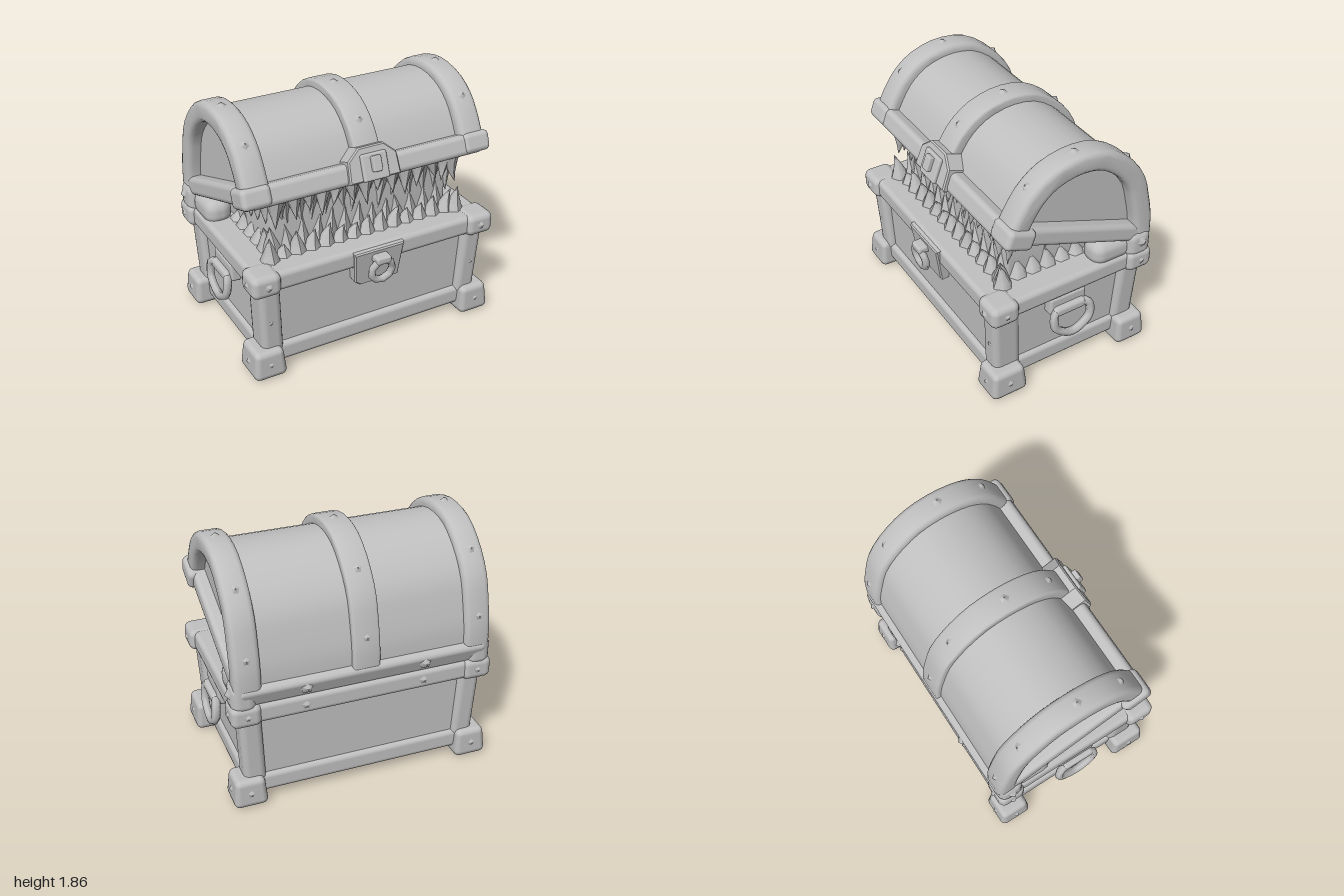
import * as THREE from 'three';
import { toCreasedNormals } from 'three/addons/utils/BufferGeometryUtils.js';
import { RoundedBoxGeometry } from 'three/addons/geometries/RoundedBoxGeometry.js';

export function createModel() {
  const chest = new THREE.Group();
  chest.name = 'toothedChest';
  const grey = new THREE.MeshStandardMaterial({ color: 0xc0c0c0, side: THREE.DoubleSide });
  grey.name = 'plainGrey';

  let seed = 7;
  const rand = () => (seed = (seed * 16807) % 2147483647) / 2147483647;

  const add = (name, geo, parent = chest) => {
    const mesh = new THREE.Mesh(geo, grey);
    mesh.name = name;
    parent.add(mesh);
    return mesh;
  };

  // Soft-edged block given by its limits; the top can be narrowed or widened
  const block = (name, [x0, x1], [y0, y1], [z0, z1], { r = 0.03, top = 1, parent = chest } = {}) => {
    const h = y1 - y0;
    const geo = new RoundedBoxGeometry(x1 - x0, h, z1 - z0, 2, r);
    const p = geo.attributes.position;
    for (let i = 0; i < p.count; i++) {
      const s = 1 + (top - 1) * (p.getY(i) / h + 0.5);
      p.setX(i, p.getX(i) * s);
      p.setZ(i, p.getZ(i) * s);
    }
    const mesh = add(name, geo, parent);
    mesh.position.set((x0 + x1) / 2, (y0 + y1) / 2, (z0 + z1) / 2);
    return mesh;
  };
  const span = (s, a, b) => (s > 0 ? [a, b] : [-b, -a]);

  // Side outline (z, y) extruded across x
  const acrossX = (name, points, x0, x1, bevel) => {
    const geo = new THREE.ExtrudeGeometry(new THREE.Shape(points), {
      depth: x1 - x0 - 2 * bevel, bevelEnabled: bevel > 0, bevelThickness: bevel,
      bevelSize: bevel, bevelOffset: -bevel, bevelSegments: 3,
    });
    geo.rotateY(-Math.PI / 2);
    geo.translate(x1 - bevel, 0, 0);
    return add(name, toCreasedNormals(geo, 0.7));
  };

  // Base: panels, rims, leaning posts and flared feet
  block('bodyPanels', [-0.84, 0.84], [0.11, 0.8], [-0.585, 0.52], { top: 1.03 });
  block('frontBottomTrim', [-0.875, 0.875], [0.08, 0.23], [0.44, 0.56], { r: 0.04 });
  block('backBottomTrim', [-0.875, 0.875], [0.08, 0.23], [-0.62, -0.5], { r: 0.04 });
  block('topRim', [-0.94, 0.94], [0.705, 0.855], [-0.67, 0.61], { r: 0.04 });
  for (const s of [1, -1]) {
    block('sideBottomTrim', span(s, 0.75, 0.875), [0.08, 0.23], [-0.62, 0.56], { r: 0.04 });
    block('frontFoot', span(s, 0.73, 0.985), [0.02, 0.24], [0.35, 0.645], { r: 0.045, top: 0.84 });
    block('backFoot', span(s, 0.73, 0.985), [0.02, 0.24], [-0.69, -0.43], { r: 0.045, top: 0.84 });
    for (const [name, z0, z1, lean] of [['frontPost', 0.37, 0.585, 0.05], ['backPost', -0.635, -0.455, -0.04]]) {
      const post = block(name, span(s, 0.735, 0.9), [0.16, 0.76], [z0, z1], { r: 0.05 });
      post.rotation.set(lean, 0, -s * 0.05);
    }
    block('frontRimCap', span(s, 0.755, 0.975), [0.695, 0.865], [0.42, 0.64], { r: 0.05 });
    block('backRimCap', span(s, 0.755, 0.975), [0.695, 0.865], [-0.69, -0.48], { r: 0.05 });
    block('hingePost', span(s, 0.78, 0.965), [0.8, 1.03], [-0.685, -0.48], { r: 0.07 });
    block('hingeLump', span(s, 0.72, 0.93), [0.8, 1.01], [-0.56, -0.22], { r: 0.09 });
  }

  // Crumpled underside with a few scraps hanging near the back
  const under = new THREE.PlaneGeometry(1.56, 1.0, 26, 18).rotateX(Math.PI / 2);
  const up = under.attributes.position;
  for (let i = 0; i < up.count; i++) {
    const x = up.getX(i), z = up.getZ(i);
    const fall = Math.max(0, 1 - (x / 0.78) ** 2) * Math.max(0, 1 - (z / 0.5) ** 2);
    const hang = Math.abs(x) < 0.52 && (Math.abs(z + 0.45) < 0.03 || Math.abs(z + 0.2) < 0.03);
    up.setY(i, 0.105 - rand() * (hang ? 0.105 : 0.04 * Math.sqrt(fall)));
  }
  under.computeVertexNormals();
  add('crumpledUnderside', under);

  // Lid arch, with inset copies for the panel and the bands
  const arch = new THREE.SplineCurve([
    [0.5, 1.42], [0.42, 1.57], [0.32, 1.7], [0.17, 1.8], [-0.04, 1.845],
    [-0.26, 1.81], [-0.45, 1.68], [-0.585, 1.5], [-0.645, 1.3], [-0.68, 1.12], [-0.685, 0.95],
  ].map(([z, y]) => new THREE.Vector2(z, y)));
  const inset = (front, back = front) => Array.from({ length: 25 }, (_, i) => {
    const p = arch.getPoint(i / 24), t = arch.getTangent(i / 24);
    const d = THREE.MathUtils.lerp(front, back, i / 24);
    return new THREE.Vector2(p.x - t.y * d, p.y + t.x * d);
  });
  const bandOutline = (d) => [...inset(0), ...inset(d).reverse()];
  acrossX('lidPanel', inset(0.08, 0.035), -0.85, 0.85, 0);
  acrossX('middleBand', bandOutline(0.1), -0.1, 0.1, 0.02);
  acrossX('leftBand', bandOutline(0.15), 0.75, 0.945, 0.04);
  acrossX('rightBand', bandOutline(0.15), -0.945, -0.75, 0.04);

  // Tilted lid rim around the back hinge
  const lidRim = new THREE.Group();
  lidRim.name = 'lidRim';
  lidRim.position.set(0, 0.985, -0.62);
  lidRim.rotation.x = -0.362;
  chest.add(lidRim);
  const inLid = { parent: lidRim, r: 0.04 };
  block('lidFrontBar', [-0.92, 0.92], [-0.088, 0.065], [1.04, 1.21], inLid);
  block('lidBackBar', [-0.92, 0.92], [-0.13, 0.03], [-0.08, 0.06], inLid);
  for (const s of [1, -1]) {
    block('lidSideBar', span(s, 0.78, 0.94), [-0.07, 0.07], [-0.05, 1.19], inLid);
    block('lidCornerCap', span(s, 0.755, 0.975), [-0.08, 0.07], [1.0, 1.225], inLid);
  }

  // Upper clasp
  const plate = (name, pts, depth, parent) => add(name, new THREE.ExtrudeGeometry(
    new THREE.Shape(pts.map(([x, y]) => new THREE.Vector2(x, y))),
    { depth, bevelThickness: 0.01, bevelSize: 0.01, bevelOffset: -0.01, bevelSegments: 1 }), parent);
  plate('upperClaspPlate', [[-0.2, -0.08], [0.2, -0.08], [0.19, 0.08], [0.1, 0.16], [-0.1, 0.16], [-0.19, 0.08]],
    0.16, lidRim).position.z = 1.07;
  block('claspHousing', [-0.1, 0.1], [-0.08, 0.11], [1.2, 1.265], { parent: lidRim, r: 0.015 });
  block('claspPin', [-0.035, 0.035], [-0.02, 0.09], [1.24, 1.3], { parent: lidRim, r: 0.01 });

  // Lower clasp with pull ring
  const lowerPlate = plate('lowerClaspPlate', [[-0.2, 0], [-0.18, -0.25], [-0.13, -0.29], [0.18, -0.29], [0.2, 0]], 0.1);
  lowerPlate.position.set(0, 0.85, 0.53);
  lowerPlate.rotation.x = 0.15;
  block('ringPeg', [-0.06, 0.06], [0.74, 0.8], [0.6, 0.705], { r: 0.02 });
  const ring = add('claspRing', new THREE.TorusGeometry(0.085, 0.028, 6, 9));
  ring.position.set(0, 0.68, 0.665);
  ring.rotation.x = 0.12;

  // Side handles
  for (const s of [1, -1]) {
    block('handlePlate', span(s, 0.82, 0.93), [0.56, 0.71], [-0.15, 0.15], { r: 0.025 });
    block('handleHinge', span(s, 0.89, 0.97), [0.56, 0.64], [-0.13, 0.13], { r: 0.03 });
    const loop = new THREE.CatmullRomCurve3([
      [0.94, 0.6, 0.11], [0.95, 0.58, 0.13], [0.96, 0.47, 0.125], [0.965, 0.41, 0.06], [0.965, 0.38, -0.02],
      [0.965, 0.41, -0.1], [0.96, 0.47, -0.165], [0.95, 0.58, -0.16], [0.94, 0.6, -0.12],
    ].map(([x, y, z]) => new THREE.Vector3(s * x, y, z)), true);
    add('handleRing', new THREE.TubeGeometry(loop, 28, 0.032, 6, true));
  }

  // Mouth filling behind the teeth
  acrossX('gums', [[0.37, 0.8], [0.37, 1.31], [-0.56, 0.96], [-0.56, 0.8]]
    .map(([z, y]) => new THREE.Vector2(z, y)), -0.71, 0.71, 0.03);

  // Teeth: bent cones; a negative length hangs down
  const tooth = (name, x, y, z, length, radius) => {
    const geo = new THREE.ConeGeometry(radius, Math.abs(length), 6, 3);
    geo.translate(0, Math.abs(length) / 2, 0);
    const p = geo.attributes.position;
    const lean = (rand() - 0.5) * 0.08;
    for (let i = 0; i < p.count; i++) {
      const t = p.getY(i) / Math.abs(length);
      p.setX(i, p.getX(i) + lean * t * t);
      p.setZ(i, p.getZ(i) + 0.03 * t * t);
    }
    geo.computeVertexNormals();
    const mesh = add(name, geo);
    mesh.position.set(x, y, z);
    if (length < 0) mesh.rotation.z = Math.PI;
  };
  for (let i = 0; i < 13; i++) {
    const x = -0.66 + i * 0.11;
    tooth('upperTooth', x, 1.335, 0.4, -0.16 - 0.1 * rand(), 0.075);
    tooth('innerUpperTooth', x + 0.05, 1.32, 0.34, -0.26 - 0.08 * rand(), 0.085);
    tooth('lowerTooth', x + 0.02, 0.83, 0.4, 0.12 + 0.1 * rand(), 0.08);
    tooth('innerLowerTooth', x - 0.03, 0.83, 0.34, 0.22 + 0.08 * rand(), 0.085);
  }
  for (const s of [1, -1]) {
    tooth('lowerFang', s * 0.75, 0.83, 0.43, 0.22, 0.08);
    tooth('upperFang', s * 0.7, 1.34, 0.42, -0.25, 0.08);
    for (let i = 0; i < 5; i++) {
      const z = 0.28 - i * 0.12;
      tooth('upperSideTooth', s * 0.7, 1.27 - i * 0.046, z, -0.2 + i * 0.015, 0.08);
      tooth('lowerSideTooth', s * 0.7, 0.83, z, 0.22 - i * 0.02, 0.085);
    }
  }

  // Pointed studs along the metalwork
  const stud = (x, y, z, nx, ny, nz) => {
    const mesh = add('stud', new THREE.ConeGeometry(0.05, 0.035, 5));
    mesh.position.set(x, y, z);
    mesh.quaternion.setFromUnitVectors(new THREE.Vector3(0, 1, 0), new THREE.Vector3(nx, ny, nz).normalize());
  };
  for (const x of [-0.85, 0, 0.85]) {
    for (const t of [0.2, 0.4, 0.62, 0.85]) {
      const p = arch.getPoint(t), d = arch.getTangent(t);
      stud(x, p.y + 0.005, p.x, 0, -d.x, d.y);
    }
  }
  for (const s of [1, -1]) {
    for (const [y, z] of [[0.13, 0.5], [0.13, -0.56], [0.78, 0.53], [0.78, -0.59], [0.94, -0.59]]) {
      stud(s * 0.975, y, z, s, 0, 0);
    }
    stud(s * 0.86, 0.13, 0.63, 0, 0, 1);
    stud(s * 0.86, 0.78, 0.645, 0, 0, 1);
    stud(s * 0.86, 0.13, -0.68, 0, 0, -1);
    stud(s * 0.86, 0.78, -0.69, 0, 0, -1);
    stud(s * 0.44, 0.93, -0.7, 0, 0, -1);
    stud(s * 0.44, 0.78, -0.675, 0, 0, -1);
    stud(s * 0.83, 0.45, 0.58, 0, 0, 1);
  }
  return chest;
}
